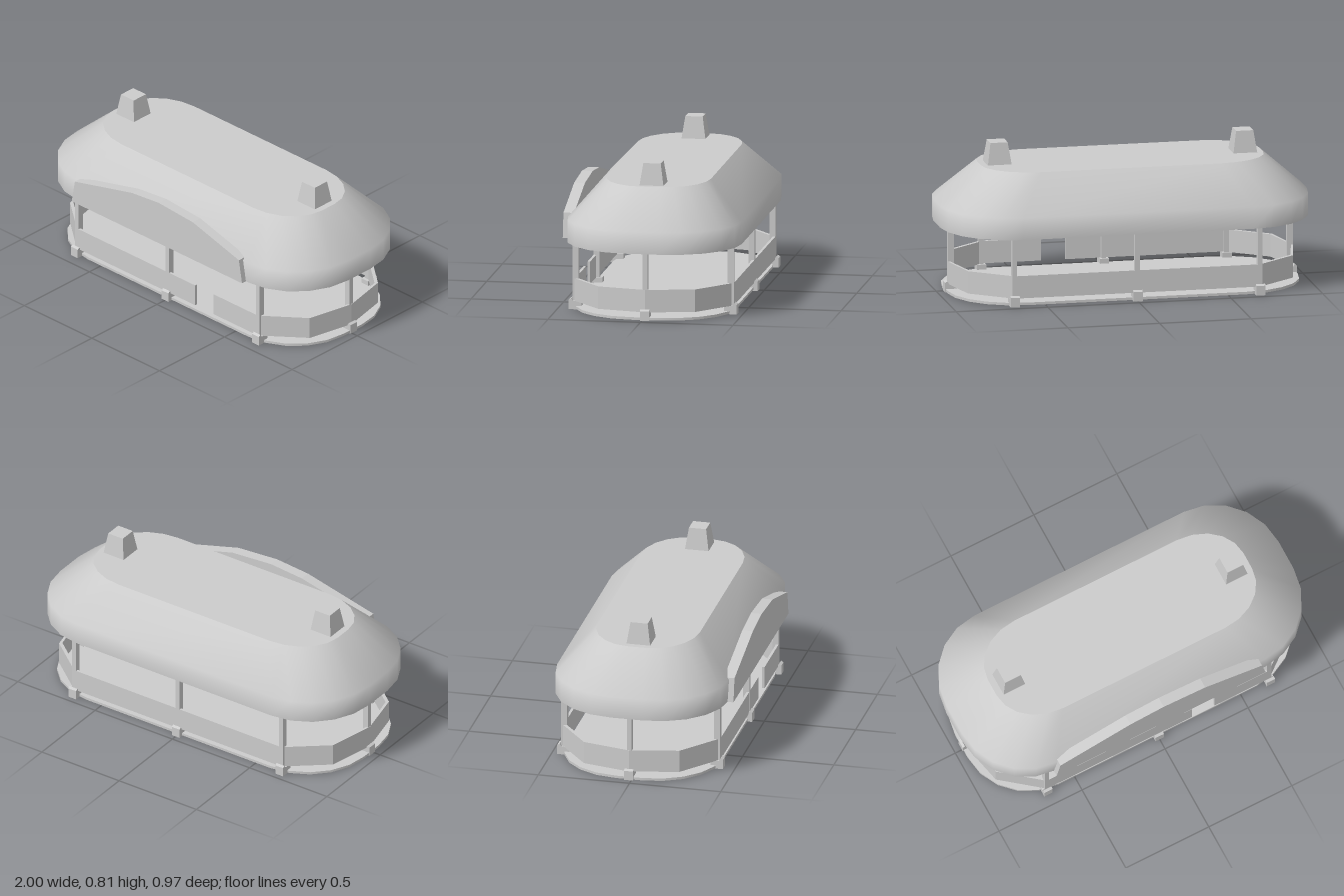
import * as THREE from 'three';

const ZC = -0.015; // centre line of the body
const material = new THREE.MeshStandardMaterial({ color: 0xcccccc });

function add(parent, name, geometry, x = 0, y = 0, z = 0) {
  const mesh = new THREE.Mesh(geometry, material);
  mesh.name = name;
  mesh.position.set(x, y, z);
  parent.add(mesh);
  return mesh;
}

// Rounded rectangle outline: half sizes hx, hz and corner radii rx, rz
function outline(hx, hz, rx, rz, steps = 5) {
  const points = [];
  for (let q = 0; q < 4; q++) {
    const sx = q === 0 || q === 3 ? 1 : -1;
    const sz = q < 2 ? 1 : -1;
    for (let i = 0; i <= steps; i++) {
      const a = (q + i / steps) * Math.PI / 2;
      points.push(new THREE.Vector2(sx * (hx - rx) + rx * Math.cos(a), sz * (hz - rz) + rz * Math.sin(a)));
    }
  }
  return points;
}

// Smooth skin through matching outlines at rising heights
function loft(rings, heights) {
  const n = rings[0].length, positions = [], index = [];
  rings.forEach((ring, k) => ring.forEach((p) => positions.push(p.x, heights[k], p.y)));
  for (let k = 0; k < rings.length - 1; k++) {
    for (let i = 0; i < n; i++) {
      const a = k * n + i, b = k * n + (i + 1) % n;
      index.push(a, a + n, b, b, a + n, b + n);
    }
  }
  const geometry = new THREE.BufferGeometry();
  geometry.setAttribute('position', new THREE.Float32BufferAttribute(positions, 3));
  geometry.setIndex(index);
  geometry.computeVertexNormals();
  return geometry;
}

// Lofted body with flat top and bottom
function closedLoft(name, rings, heights) {
  const group = new THREE.Group();
  group.name = name;
  group.position.z = ZC;
  const cap = (ring, turn) => new THREE.ShapeGeometry(new THREE.Shape(ring)).rotateX(turn * Math.PI / 2);
  add(group, name + 'Sides', loft(rings, heights));
  add(group, name + 'Top', cap(rings.at(-1), -1), 0, heights.at(-1));
  add(group, name + 'Underside', cap(rings[0], 1), 0, heights[0]);
  return group;
}

export function createModel() {
  const model = new THREE.Group();
  model.name = 'pavilion';

  // Floor slab
  const floorRing = outline(0.955, 0.43, 0.36, 0.36);
  model.add(closedLoft('floor', [floorRing, floorRing], [0.004, 0.018]));

  // Roof: upright rim, sloping skirt, flat top
  const eave = outline(1, 0.47, 0.37, 0.385);
  model.add(closedLoft('roof', [eave, eave, outline(0.77, 0.28, 0.28, 0.23)], [0.37, 0.49, 0.692]));

  // Tapered roof vents
  for (const x of [-0.67, 0.67]) {
    const vent = new THREE.CylinderGeometry(0.047 * Math.SQRT2, 0.065 * Math.SQRT2, 0.12, 4, 1)
      .rotateY(Math.PI / 4).toNonIndexed();
    vent.computeVertexNormals();
    add(model, 'roofVent', vent, x, 0.75, ZC);
  }

  // Arched sign board over the front
  const arch = [[-0.645, 0.37], [0.615, 0.37], [0.592, 0.503], [0.25, 0.6], [0, 0.618], [-0.2, 0.6], [-0.622, 0.5]];
  const board = new THREE.Shape(arch.map(([x, y]) => new THREE.Vector2(x, y)));
  add(model, 'signBoard', new THREE.ExtrudeGeometry(board, { depth: 0.058, bevelEnabled: false }), 0, 0, 0.427);

  // Posts with clamped feet along both sides and at both ends
  const addPost = (x, z, turn) => {
    const post = new THREE.Group();
    post.name = 'post';
    post.position.set(x, 0, z);
    post.rotation.y = turn;
    add(post, 'postShaft', new THREE.BoxGeometry(0.026, 0.37, 0.034), 0, 0.187, 0);
    const foot = new THREE.Shape([[-0.033, 0], [0.035, 0], [0.035, 0.052], [0.022, 0.06], [0.012, 0.045], [-0.033, 0.045]]
      .map(([u, v]) => new THREE.Vector2(u, v)));
    const footGeometry = new THREE.ExtrudeGeometry(foot, { depth: 0.05, bevelEnabled: false })
      .translate(0, 0, -0.025).rotateY(-Math.PI / 2);
    add(post, 'postFoot', footGeometry);
    model.add(post);
  };
  for (const x of [-0.67, 0, 0.67]) {
    addPost(x, ZC + 0.419, 0);
    addPost(x, ZC - 0.419, Math.PI);
  }
  addPost(0.925, ZC, Math.PI / 2);
  addPost(-0.925, ZC, -Math.PI / 2);

  // Low panel band around the deck, with a doorway in the front
  const corners = [
    [0.34, 0.435], [0.67, 0.435], [0.887, 0.262], [0.945, 0], [0.887, -0.262], [0.67, -0.435],
    [-0.67, -0.435], [-0.887, -0.262], [-0.945, 0], [-0.887, 0.262], [-0.67, 0.435], [0.205, 0.435],
  ].map(([x, z]) => new THREE.Vector2(x, z));
  const inner = corners.map((p) => new THREE.Vector2(
    Math.abs(p.x) < 0.5 ? p.x : p.x - Math.sign(p.x) * 0.012,
    p.y - Math.sign(p.y) * 0.014,
  ));
  const band = new THREE.Shape([...corners, ...inner.reverse()]);
  const bandGeometry = new THREE.ExtrudeGeometry(band, { depth: 0.122, bevelEnabled: false }).rotateX(Math.PI / 2);
  add(model, 'panelBand', bandGeometry, 0, 0.166, ZC);

  return model;
}
